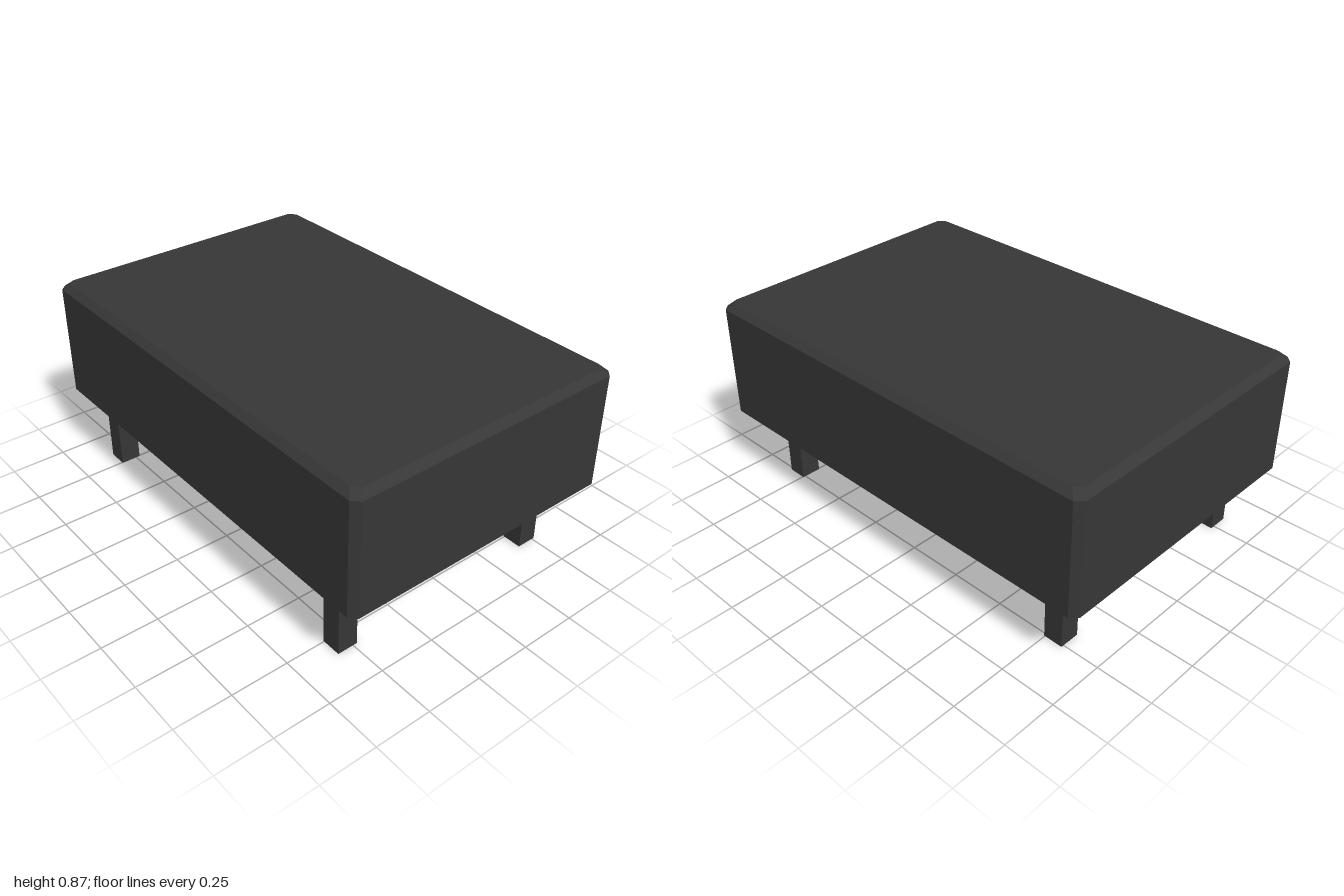
import * as THREE from 'three';

const HALF_X = 1, HALF_Z = 0.652, CORNER = 0.03;
const BOTTOM = 0.293, TOP = 0.868;

// Rectangle with cut corners, shrunk by inset, at height y
function ring(y, inset) {
  const x = HALF_X - inset, z = HALF_Z - inset, c = CORNER;
  return [
    [x, z - c], [x - c, z], [c - x, z], [-x, z - c],
    [-x, c - z], [c - x, -z], [x - c, -z], [x, c - z],
  ].map(([px, pz]) => [px, y, pz]);
}

// Join the rings from bottom to top and close both ends
function loft(rings) {
  const pos = [];
  const tri = (a, b, c) => pos.push(...a, ...b, ...c);
  const first = rings[0], last = rings[rings.length - 1], n = first.length;
  for (let r = 0; r < rings.length - 1; r++) {
    const lo = rings[r], hi = rings[r + 1];
    for (let i = 0; i < n; i++) {
      const j = (i + 1) % n;
      tri(lo[i], hi[i], hi[j]);
      tri(lo[i], hi[j], lo[j]);
    }
  }
  for (let i = 1; i < n - 1; i++) {
    tri(last[0], last[i + 1], last[i]);
    tri(first[0], first[i], first[i + 1]);
  }
  const geometry = new THREE.BufferGeometry();
  geometry.setAttribute('position', new THREE.Float32BufferAttribute(pos, 3));
  geometry.computeVertexNormals();
  return geometry;
}

export function createModel() {
  const model = new THREE.Group();
  model.name = 'ottoman';
  const charcoal = new THREE.MeshStandardMaterial({ color: 0x373737 });
  charcoal.name = 'charcoal';

  // Upholstered block with bevelled edges
  const cushion = new THREE.Mesh(loft([
    ring(BOTTOM, 0.04), ring(0.331, 0), ring(0.84, 0), ring(TOP, 0.03),
  ]), charcoal);
  cushion.name = 'cushion';
  model.add(cushion);

  // Four square legs, the front pair closer to the edge
  const legGeometry = new THREE.BoxGeometry(0.088, BOTTOM, 0.091);
  for (const [end, z] of [['front', 0.527], ['back', -0.466]]) {
    for (const [side, x] of [['Left', 0.79], ['Right', -0.79]]) {
      const leg = new THREE.Mesh(legGeometry, charcoal);
      leg.name = `${end}${side}Leg`;
      leg.position.set(x, BOTTOM / 2, z);
      model.add(leg);
    }
  }
  return model;
}
